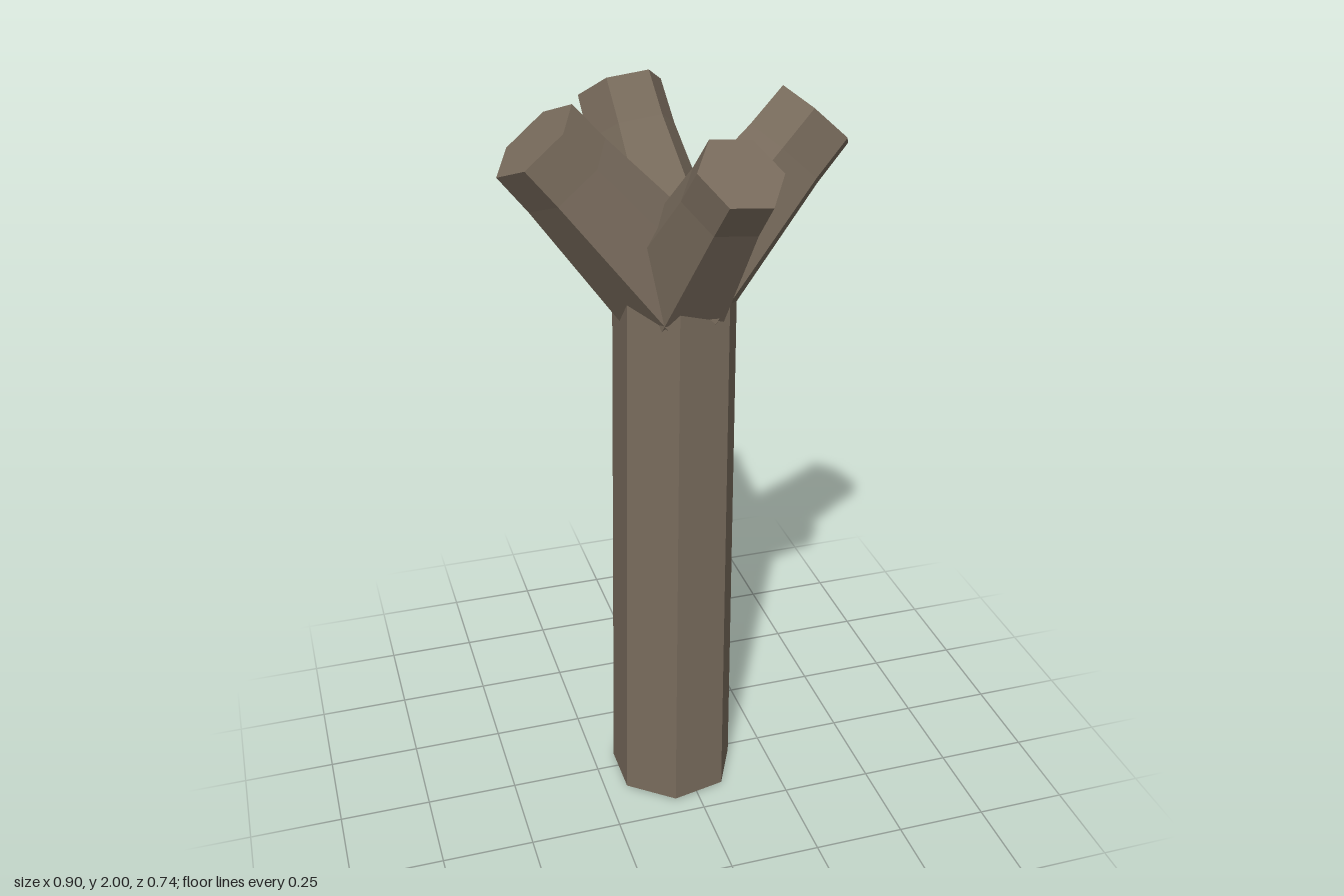
import * as THREE from 'three';

const bark = new THREE.MeshStandardMaterial({ color: 0x786b5c, flatShading: true });
bark.name = 'bark brown';

// Closed faceted limb between two points; rings are [fraction along, radius].
// One corner of every ring points along the model's x axis.
function limb(name, from, to, sides, rings) {
  const a = new THREE.Vector3(...from);
  const axis = new THREE.Vector3(...to).sub(a);
  const length = axis.length();
  axis.normalize();

  const profile = [
    new THREE.Vector2(0, 0),
    ...rings.map(([t, r]) => new THREE.Vector2(r, t * length)),
    new THREE.Vector2(0, length),
  ];
  const geometry = new THREE.LatheGeometry(profile, sides, Math.PI / 2);

  const across = new THREE.Vector3(1, 0, 0).addScaledVector(axis, -axis.x).normalize();
  const depth = new THREE.Vector3().crossVectors(across, axis);
  geometry.applyMatrix4(new THREE.Matrix4().makeBasis(across, axis, depth).setPosition(a));

  const mesh = new THREE.Mesh(geometry, bark);
  mesh.name = name;
  return mesh;
}

export function createModel() {
  const model = new THREE.Group();
  model.name = 'treeStump';

  // Seven-sided trunk, leaning slightly
  const fork = [-0.01, 1.5, 0.007];
  model.add(limb('trunk', [-0.03, 0.004, 0.027], fork, 7, [[0, 0.176], [1, 0.164]]));

  // Four six-sided cut branches spreading from the fork: tip centre and tip radius
  const branches = {
    rightBranch: [[-0.355, 1.91, -0.005], 0.124],
    leftBranch: [[0.362, 1.91, -0.02], 0.118],
    backBranch: [[-0.07, 1.945, -0.287], 0.112],
    frontBranch: [[0.062, 1.882, 0.288], 0.111],
  };
  for (const [name, [tip, r]] of Object.entries(branches)) {
    model.add(limb(name, fork, tip, 6, [[0, 0.162], [0.78, r * 1.03], [1, r]]));
  }
  return model;
}
